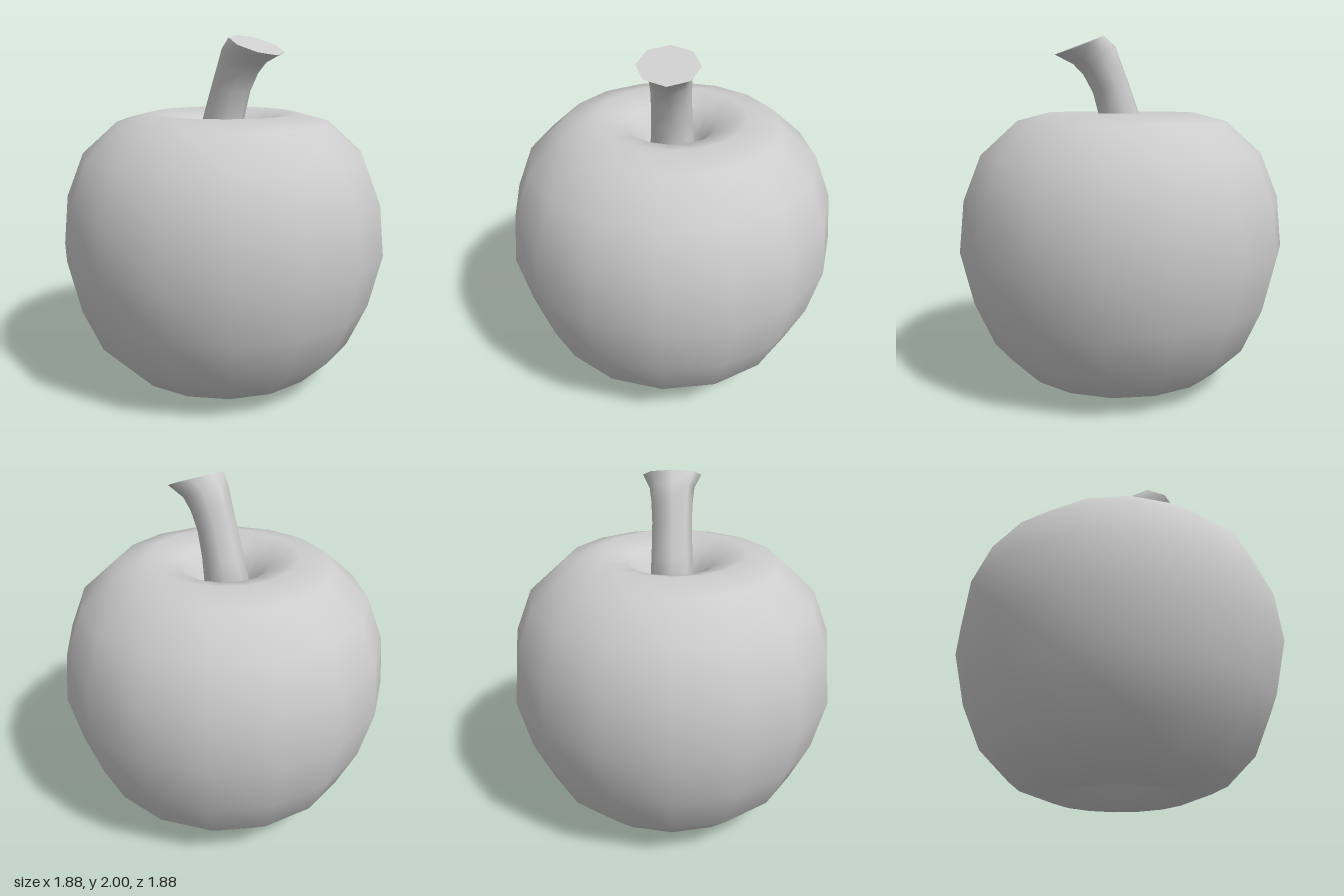
import * as THREE from 'three';

// Smooth skin over rings given as [leftX, leftY, rightX, rightY, halfDepth]
function loft(rings, sides) {
  const pos = [], index = [];
  for (const [lx, ly, rx, ry, d] of rings) {
    for (let j = 0; j < sides; j++) {
      const a = (j / sides) * Math.PI * 2, c = Math.cos(a) / 2;
      pos.push((lx + rx) / 2 + c * (rx - lx), (ly + ry) / 2 + c * (ry - ly), Math.sin(a) * d);
    }
  }
  for (let i = 0; i < rings.length - 1; i++) {
    for (let j = 0; j < sides; j++) {
      const a = i * sides + j, b = i * sides + (j + 1) % sides;
      index.push(a, a + sides, b, b, a + sides, b + sides);
    }
  }
  return build(pos, index);
}

// Flat lid on a single ring
function lid([lx, ly, rx, ry, d], sides) {
  const pos = [(lx + rx) / 2, (ly + ry) / 2, 0], index = [];
  for (let j = 0; j < sides; j++) {
    const a = (j / sides) * Math.PI * 2, c = Math.cos(a) / 2;
    pos.push(pos[0] + c * (rx - lx), pos[1] + c * (ry - ly), Math.sin(a) * d);
    index.push(0, 1 + (j + 1) % sides, 1 + j);
  }
  return build(pos, index);
}

function build(pos, index) {
  const g = new THREE.BufferGeometry();
  g.setAttribute('position', new THREE.Float32BufferAttribute(pos, 3));
  g.setIndex(index);
  g.computeVertexNormals();
  return g;
}

export function createModel() {
  const model = new THREE.Group();
  model.name = 'apple';
  const grey = new THREE.MeshStandardMaterial({ color: 0xcccccc });
  grey.name = 'light grey';
  const add = (name, geometry) => {
    const mesh = new THREE.Mesh(geometry, grey);
    mesh.name = name;
    model.add(mesh);
  };

  // Fruit: 16-sided lathe with a hollow at the bottom and at the top
  const profile = [
    [0, 0.22], [0.09, 0.18], [0.19, 0.06], [0.38, 0], [0.59, 0.08], [0.76, 0.25],
    [0.87, 0.5], [0.94, 0.8], [0.91, 1.09], [0.81, 1.34], [0.61, 1.52],
    [0.42, 1.57], [0.26, 1.52], [0.17, 1.41], [0.11, 1.28], [0, 1.24],
  ].map(([x, y]) => new THREE.Vector2(x, y));
  add('fruit', new THREE.LatheGeometry(profile, 16));

  // Stem: bent, 8-sided, flaring at the cut end
  const rings = [
    [-0.15, 1.25, 0.12, 1.22, 0.135],
    [-0.15, 1.45, 0.11, 1.42, 0.12],
    [-0.11, 1.57, 0.13, 1.55, 0.114],
    [-0.04, 1.76, 0.165, 1.68, 0.11],
    [0.0, 1.86, 0.22, 1.78, 0.115],
    [0.03, 1.94, 0.28, 1.84, 0.125],
    [0.1, 2.0, 0.385, 1.89, 0.165],
  ];
  add('stem', loft(rings, 8));
  add('stemCut', lid(rings[rings.length - 1], 8));

  return model;
}
